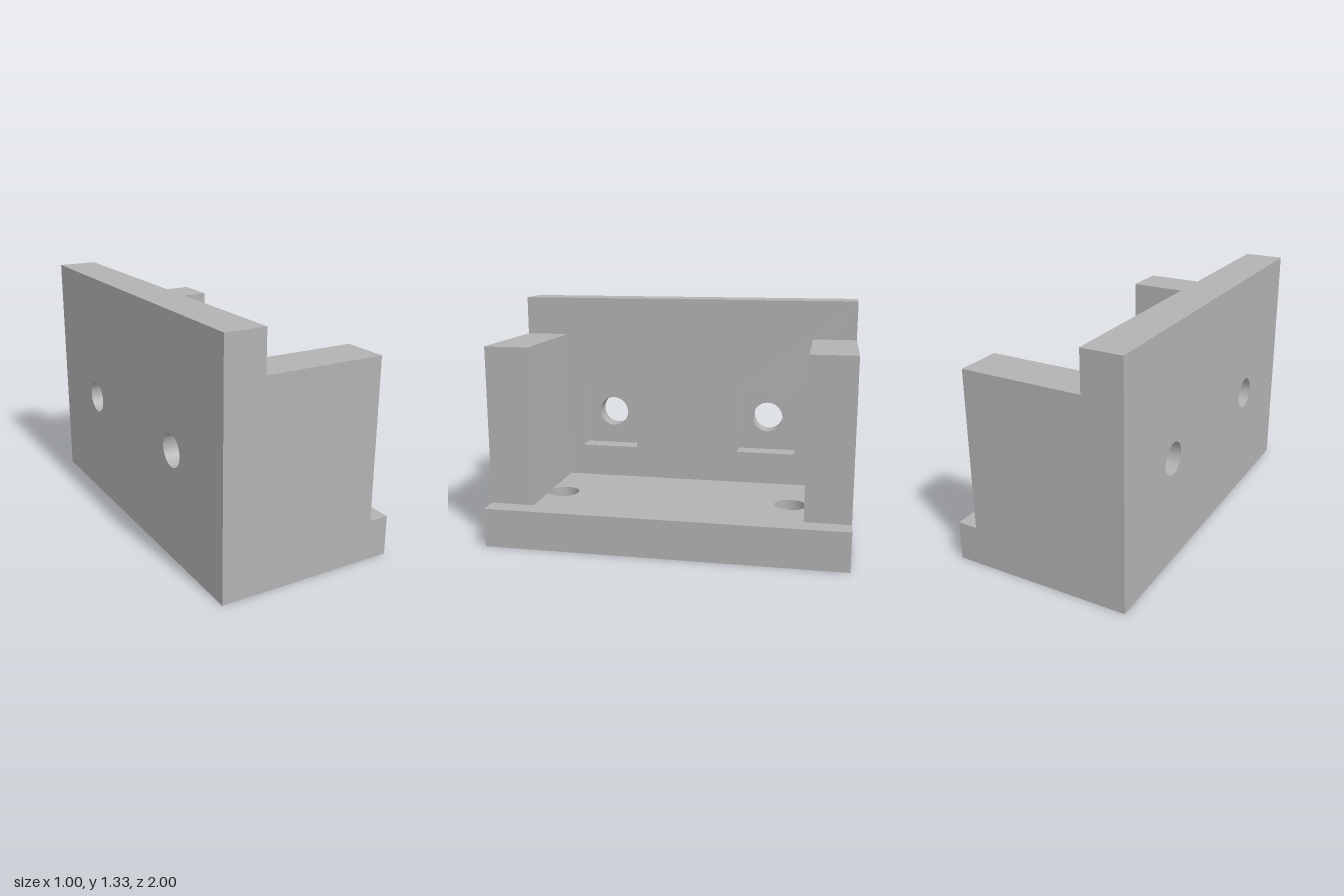
import * as THREE from 'three';
import { toCreasedNormals } from 'three/addons/utils/BufferGeometryUtils.js';

const HOLE_RADIUS = 0.09;

// Rectangle outline, usable as a shape or as a hole
function rect(path, x0, y0, x1, y1) {
  path.moveTo(x0, y0);
  path.lineTo(x1, y0);
  path.lineTo(x1, y1);
  path.lineTo(x0, y1);
  path.closePath();
  return path;
}

const roundHole = (x, y) => new THREE.Path().absarc(x, y, HOLE_RADIUS, 0, Math.PI * 2, true);

// Plate with holes, extruded along +z
function plate(outline, holes, depth) {
  outline.holes.push(...holes);
  return new THREE.ExtrudeGeometry(outline, { depth, bevelEnabled: false, curveSegments: 40 });
}

export function createModel() {
  const model = new THREE.Group();
  model.name = 'mountingBracket';
  const grey = new THREE.MeshStandardMaterial({ color: 0xb2b2b2 });
  grey.name = 'grey';

  const add = (name, geometry) => {
    const mesh = new THREE.Mesh(toCreasedNormals(geometry, 0.6), grey);
    mesh.name = name;
    model.add(mesh);
  };

  const sides = [-1, 1];

  // Base plate with two vertical screw holes
  const base = plate(
    rect(new THREE.Shape(), -0.28, -1, 0.5, 1),
    sides.map((s) => roundHole(0.11, s * 0.667)),
    0.22
  );
  add('basePlate', base.rotateX(-Math.PI / 2));

  // Tall wall: outer layer with round holes, inner layer with square nut pockets
  const wallShape = () => rect(new THREE.Shape(), -1, 0, 1, 1.333);
  const outer = plate(wallShape(), sides.map((s) => roundHole(s * 0.488, 0.612)), 0.11);
  add('wallOuterLayer', outer.rotateY(Math.PI / 2).translate(-0.5, 0, 0));

  const pockets = sides.map((s) =>
    rect(new THREE.Path(), s * 0.488 - 0.174, 0.41, s * 0.488 + 0.174, 0.814));
  const inner = plate(wallShape(), pockets, 0.11);
  add('wallInnerLayer', inner.rotateY(Math.PI / 2).translate(-0.39, 0, 0));

  // End walls standing on the base
  for (const s of sides) {
    const end = new THREE.BoxGeometry(0.668, 0.89, 0.25);
    add(s > 0 ? 'frontEndWall' : 'backEndWall', end.translate(0.054, 0.665, s * 0.875));
  }

  return model;
}
